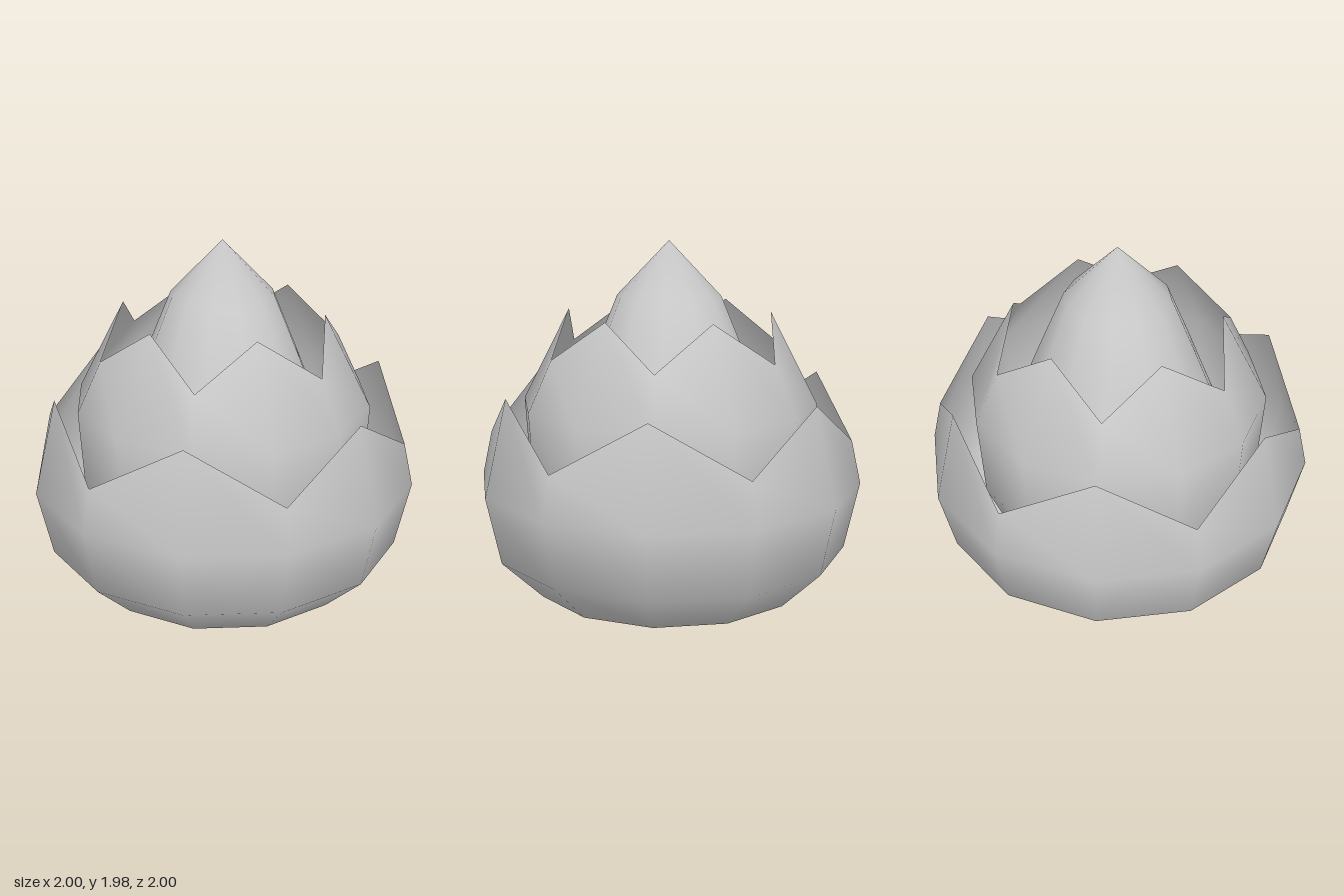
import * as THREE from 'three';
import { mergeVertices } from 'three/addons/utils/BufferGeometryUtils.js';

const SIDES = 12;

// Twelve-sided smooth shell; with a tip, every second column ends in a petal point.
function shell(name, profile, tip = null, firstTip = 0) {
  const points = profile.map(([r, y]) => new THREE.Vector2(r, y));
  let geometry = new THREE.LatheGeometry(points, SIDES);
  if (tip) {
    const pos = geometry.attributes.position;
    for (let i = firstTip; i <= SIDES; i += 2) {
      const a = (i / SIDES) * Math.PI * 2;
      const rim = i * profile.length + profile.length - 1;
      pos.setXYZ(rim, tip[0] * Math.sin(a), tip[1], tip[0] * Math.cos(a));
    }
  }
  // weld the seam and poles so the shading is smooth all round
  geometry.deleteAttribute('uv');
  geometry.deleteAttribute('normal');
  geometry = mergeVertices(geometry, 1e-4);
  geometry.computeVertexNormals();
  const material = new THREE.MeshStandardMaterial({ color: 0xcccccc, side: THREE.DoubleSide });
  const mesh = new THREE.Mesh(geometry, material);
  mesh.name = name;
  return mesh;
}

export function createModel() {
  const group = new THREE.Group();
  group.name = 'flowerBud';

  // outer petals, six points starting 30 degrees off the front
  group.add(shell('outerPetals', [
    [0, 0.005], [0.38, 0.055], [0.71, 0.175], [0.925, 0.385], [1, 0.735], [0.95, 0.96],
  ], [0.88, 1.235], 1));

  // middle petals, six points starting at the front
  group.add(shell('middlePetals', [
    [0, 0.08], [0.34, 0.14], [0.6, 0.34], [0.74, 0.7], [0.765, 1.15], [0.64, 1.41],
  ], [0.52, 1.625], 0));

  // closed core rising to a point
  group.add(shell('core', [
    [0, 0.16], [0.3, 0.2], [0.53, 0.4], [0.65, 0.75], [0.53, 1.05], [0.4, 1.38], [0.268, 1.7], [0, 1.98],
  ]));

  return group;
}
